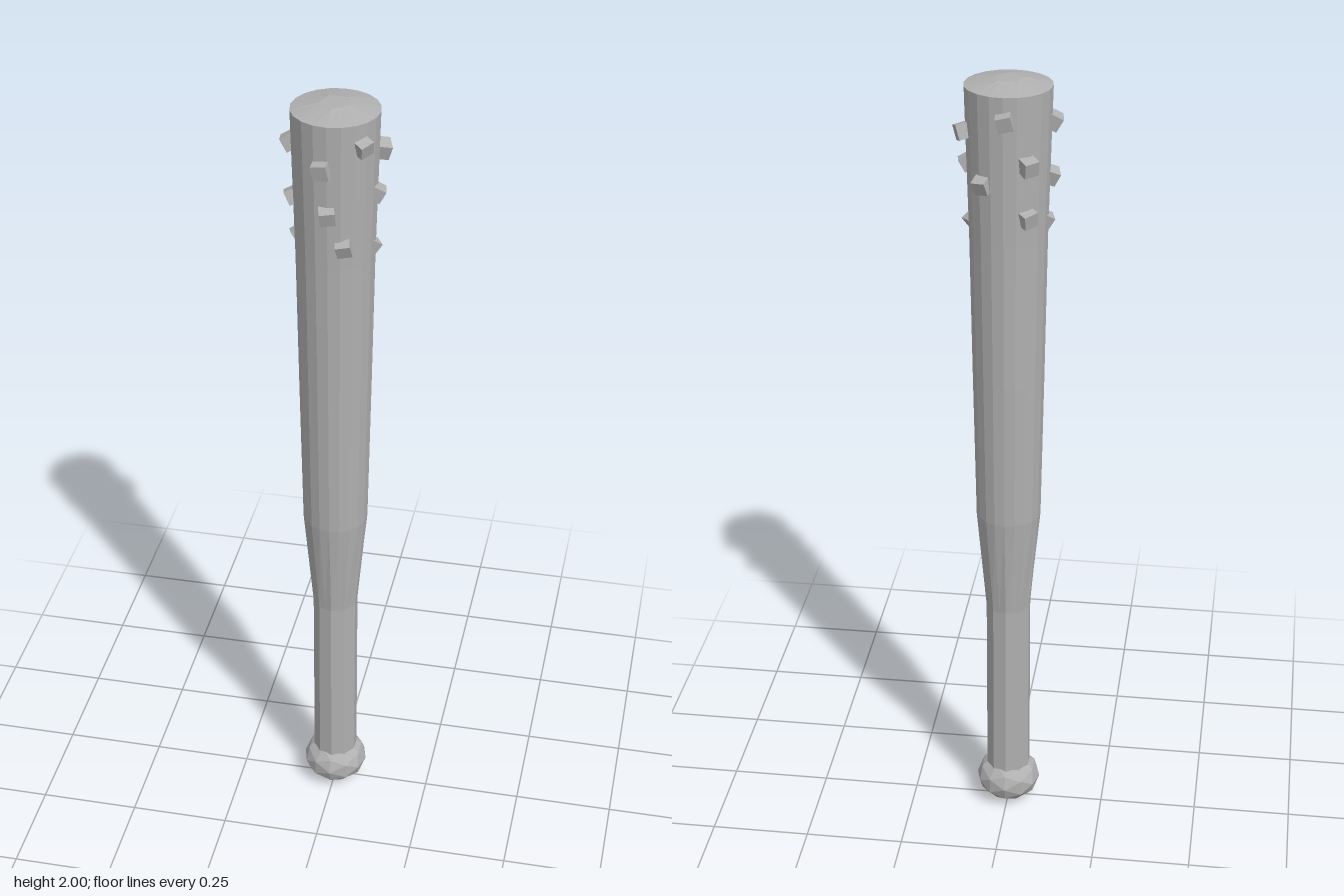
import * as THREE from 'three';

const SEGMENTS = 20;

// Closed faceted body from rings of [y, radius, sides]; each ring is a regular
// polygon sampled at SEGMENTS points, so the side count can change along it.
function ringBody(rings) {
  const positions = [], index = [];
  for (const [y, radius, sides] of rings) {
    const step = (Math.PI * 2) / sides;
    for (let i = 0; i < SEGMENTS; i++) {
      const t = (i / SEGMENTS) * sides;
      const k = Math.floor(t + 1e-6), f = Math.max(0, t - k);
      const a = k * step, b = (k + 1) * step;
      positions.push(
        radius * THREE.MathUtils.lerp(Math.sin(a), Math.sin(b), f), y,
        radius * THREE.MathUtils.lerp(Math.cos(a), Math.cos(b), f));
    }
  }
  for (let r = 0; r < rings.length - 1; r++) {
    for (let i = 0; i < SEGMENTS; i++) {
      const j = (i + 1) % SEGMENTS;
      const a = r * SEGMENTS + i, b = r * SEGMENTS + j;
      index.push(a, b, b + SEGMENTS, a, b + SEGMENTS, a + SEGMENTS);
    }
  }
  const geometry = new THREE.BufferGeometry();
  geometry.setAttribute('position', new THREE.Float32BufferAttribute(positions, 3));
  geometry.setIndex(index);
  const flat = geometry.toNonIndexed();
  flat.computeVertexNormals();
  return flat;
}

export function createModel() {
  const group = new THREE.Group();
  group.name = 'studdedBat';
  const grey = new THREE.MeshStandardMaterial({ name: 'grey', color: 0xb0b0b0, flatShading: true });

  const add = (name, geometry) => {
    const mesh = new THREE.Mesh(geometry, grey);
    mesh.name = name;
    group.add(mesh);
    return mesh;
  };

  // Ten-sided grip that opens into a rounder barrel with a shallow domed end
  add('handle', ringBody([
    [0.09, 0.057, 10], [0.6, 0.057, 10],
  ]));
  add('barrel', ringBody([
    [0.6, 0.057, 10], [0.87, 0.081, 20], [1.25, 0.088, 20], [1.62, 0.094, 20],
    [1.985, 0.104, 20], [2.0, 0.037, 5], [2.0, 0, 5],
  ]));

  // Faceted end knob
  const knob = add('knob', new THREE.IcosahedronGeometry(0.083, 1));
  knob.scale.y = 0.79;
  knob.position.y = 0.0656;

  // Tilted cube studs: [x, y, z, size, pitch, yaw, roll]
  const studs = [
    [-0.012, 1.88, 0.102, 0.037, 0.15, 0.05, 0.15],
    [0.0, 1.765, 0.098, 0.036, 0.3, 0.25, 0.1],
    [0.036, 1.68, 0.085, 0.035, 0.4, -0.2, 0.2],
    [0.076, 1.93, 0.07, 0.035, 0.3, 0.1, 0.25],
    [0.1, 1.88, -0.033, 0.037, 0.2, 0.1, 0.3],
    [0.097, 1.79, 0.01, 0.034, 0.5, 0.3, 0.05],
    [0.086, 1.65, 0.002, 0.03, 0.6, 0.75, 0.2],
    [-0.005, 1.93, -0.105, 0.036, 0.2, 0.0, 0.25],
    [0.05, 1.77, -0.086, 0.035, 0.4, 0.2, 0.1],
    [-0.057, 1.82, -0.088, 0.037, 0.25, 0.1, 0.1],
    [-0.054, 1.69, -0.079, 0.036, 0.2, 0.15, 0.2],
    [-0.102, 1.9, 0.01, 0.036, 0.5, 0.1, 0.15],
    [-0.096, 1.765, 0.014, 0.035, 0.4, 0.2, 0.3],
    [-0.086, 1.66, 0.0, 0.032, 0.5, 0.4, 0.2],
  ];
  const cube = new THREE.BoxGeometry(1, 1, 1);
  studs.forEach(([x, y, z, size, pitch, yaw, roll], i) => {
    const stud = add(`stud${i + 1}`, cube);
    stud.position.set(x, y, z);
    stud.rotation.set(pitch, Math.atan2(x, z) + yaw, roll, 'YXZ');
    stud.scale.setScalar(size);
  });

  return group;
}
